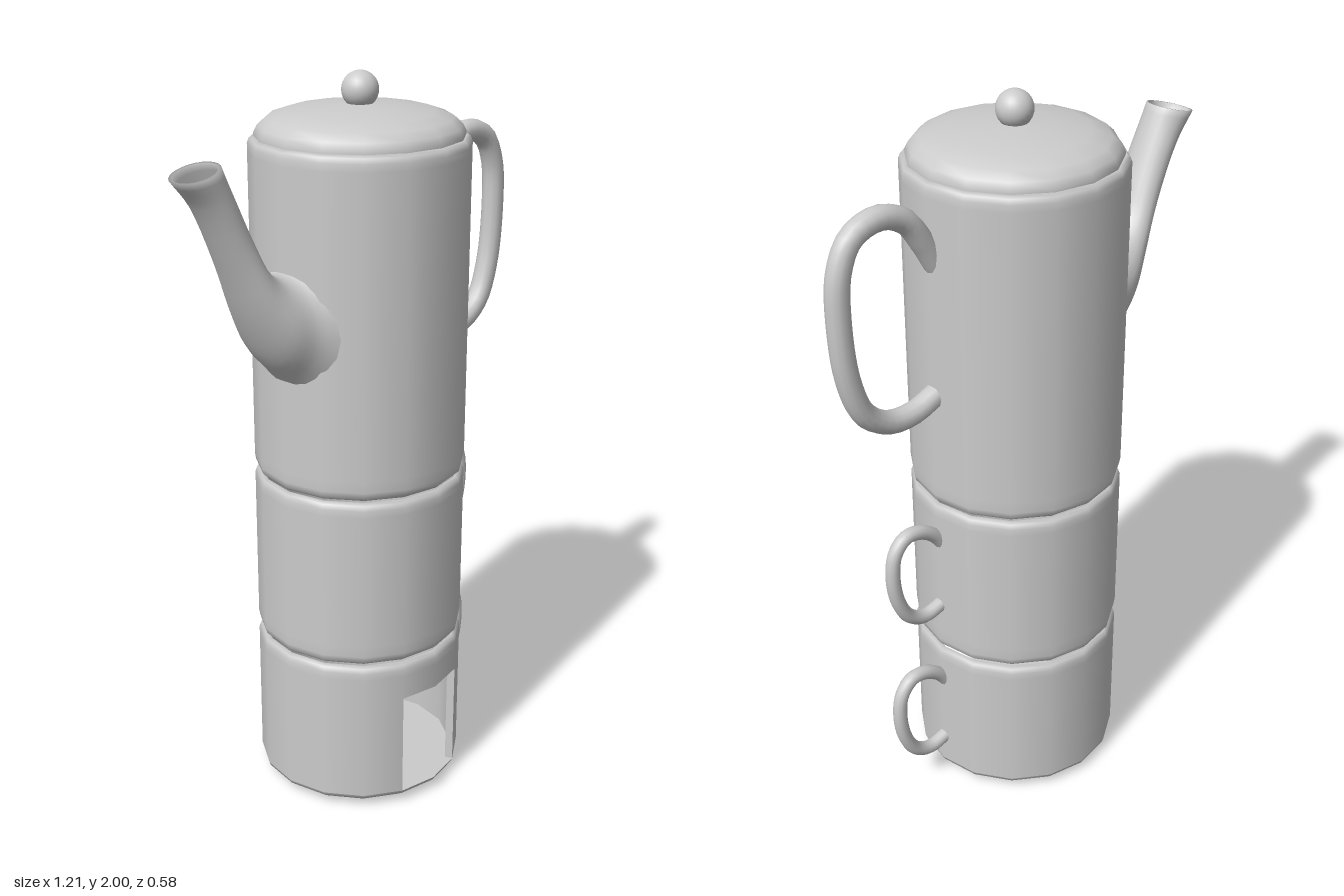
import * as THREE from 'three';
import { mergeGeometries } from 'three/addons/utils/BufferGeometryUtils.js';

const CX = 0.011, R = 0.288, RI = 0.266, SIDES = 16, STEP = Math.PI * 2 / SIDES;
const mat = new THREE.MeshStandardMaterial({ color: 0xcccccc, side: THREE.DoubleSide });

function add(group, name, geometry) {
  const mesh = new THREE.Mesh(geometry, mat);
  mesh.name = name;
  group.add(mesh);
  return mesh;
}

// turned surface round the body axis; first and count select 16th-parts of the turn
function turned(points, first = 0, count = SIDES) {
  const profile = points.map(([r, y]) => new THREE.Vector2(r, y));
  return new THREE.LatheGeometry(profile, count, first * STEP, count * STEP).translate(CX, 0, 0);
}

function handle(group, name, points, radius, dy = 0) {
  const path = new THREE.CatmullRomCurve3(points.map(([x, y]) => new THREE.Vector3(x, y + dy, 0)));
  add(group, name, new THREE.TubeGeometry(path, 40, radius, 12));
}

// rounded lip and the hollow inside, from the outer wall down to the inner floor
const lip = (top) => [[R, top - 0.04], [R, top - 0.02], [0.283, top - 0.007], [0.273, top], [RI, top - 0.01], [RI, top - 0.04]];

// warmer base with a door two facets wide in its front
function warmerGeometry() {
  const y0 = 0.04, y1 = 0.34, top = 0.45;
  const parts = [
    turned([[0, 0], [0.2, 0], [0.26, 0.012], [0.284, 0.03], [R, y0]]),
    turned([[R, y0], [R, y1]], 1, 14),
    turned([[RI, y1], [RI, y0]], 1, 14),
    turned([[R, y1], [R, top - 0.04]]),
    turned(lip(top)),
    turned([[RI, top - 0.04], [RI, y1]]),
    turned([[RI, y0], [0, y0]]),
    turned([[RI, y1], [R, y1]], -1, 2),
    turned([[R, y0], [RI, y0]], -1, 2),
  ];
  for (const s of [-1, 1]) {
    const r = (R + RI) / 2;
    parts.push(new THREE.PlaneGeometry(R - RI, y1 - y0)
      .rotateY(s * STEP - Math.PI / 2)
      .translate(CX + r * Math.sin(s * STEP), (y0 + y1) / 2, r * Math.cos(s * STEP)));
  }
  return mergeGeometries(parts);
}

function cupGeometry() {
  const y = 0.453, top = 0.935;
  return mergeGeometries([
    turned([[0, y], [0.25, y], [0.274, y + 0.004], [0.285, y + 0.014], [R, y + 0.03], [R, y + 0.06]]),
    turned([[R, y + 0.06], [R, top - 0.04]]),
    turned(lip(top)),
    turned([[RI, top - 0.04], [RI, y + 0.03]]),
    turned([[RI, y + 0.03], [0, y + 0.03]]),
  ]);
}

function potGeometry() {
  const y = 0.937, top = 1.84;
  return mergeGeometries([
    turned([[0, y], [0.25, y], [0.274, y + 0.004], [0.285, y + 0.014], [R, y + 0.03], [R, y + 0.06]]),
    turned([[R, y + 0.06], [R, top - 0.04]]),
    turned(lip(top)),
    turned([[RI, top - 0.04], [RI, y + 0.03]]),
    turned([[RI, y + 0.03], [0, y + 0.03]]),
  ]);
}

// elliptical rings between an upper and a lower edge line, out to the mouth and back inside
function spoutGeometry() {
  const curve = (pts) => new THREE.CatmullRomCurve3(pts.map((p) => new THREE.Vector3(p[0], p[1], p[2] || 0)));
  // upper line carries the half width in z
  const upper = curve([[-0.2, 1.60, 0.17], [-0.27, 1.535, 0.128], [-0.32, 1.54, 0.112], [-0.365, 1.58, 0.088],
    [-0.405, 1.66, 0.068], [-0.455, 1.77, 0.061], [-0.487, 1.843, 0.062]]);
  const lower = curve([[-0.2, 1.15], [-0.275, 1.247], [-0.34, 1.315], [-0.4, 1.42],
    [-0.47, 1.58], [-0.55, 1.74], [-0.61, 1.81]]);
  const rings = 24, around = 24, pos = [], index = [];
  const ring = (t, scale) => {
    const a = upper.getPoint(t), b = lower.getPoint(t), w = a.z * scale;
    for (let j = 0; j < around; j++) {
      const q = j / around * Math.PI * 2, c = Math.cos(q) * scale / 2;
      pos.push((a.x + b.x) / 2 + (a.x - b.x) * c, (a.y + b.y) / 2 + (a.y - b.y) * c, w * Math.sin(q));
    }
  };
  for (let i = 0; i <= rings; i++) ring(i / rings, 1);
  for (let i = rings; i >= 4; i--) ring(i / rings, 0.87);
  const total = pos.length / 3 / around;
  for (let i = 0; i < total - 1; i++) {
    for (let j = 0; j < around; j++) {
      const k = (j + 1) % around, a = i * around + j, b = i * around + k;
      index.push(a, a + around, b, b, a + around, b + around);
    }
  }
  const g = new THREE.BufferGeometry();
  g.setAttribute('position', new THREE.Float32BufferAttribute(pos, 3));
  g.setIndex(index);
  g.computeVertexNormals();
  return g;
}

export function createModel() {
  const model = new THREE.Group();
  model.name = 'stackedTeaSet';

  // stacked vessels
  add(model, 'warmerBase', warmerGeometry());
  add(model, 'cup', cupGeometry());
  add(model, 'pot', potGeometry());

  // lid and knob
  add(model, 'lid', turned([[0.268, 1.825], [0.272, 1.845], [0.262, 1.865], [0.24, 1.885], [0.19, 1.902], [0.1, 1.915], [0, 1.92]]));
  add(model, 'lidKnob', new THREE.SphereGeometry(0.048, 24, 16)).position.set(CX, 1.952, 0);

  add(model, 'spout', spoutGeometry());

  // handles
  handle(model, 'potHandle', [[0.27, 1.62], [0.31, 1.69], [0.365, 1.763], [0.44, 1.791], [0.52, 1.765], [0.56, 1.69],
    [0.569, 1.57], [0.552, 1.4], [0.51, 1.295], [0.44, 1.245], [0.36, 1.24], [0.28, 1.268]], 0.031);
  const small = [[0.275, 0.80], [0.31, 0.843], [0.36, 0.874], [0.405, 0.876], [0.44, 0.84],
    [0.451, 0.77], [0.436, 0.68], [0.4, 0.617], [0.35, 0.592], [0.28, 0.607]];
  handle(model, 'cupHandle', small, 0.02);
  handle(model, 'warmerHandle', small, 0.02, -0.478);
  return model;
}
